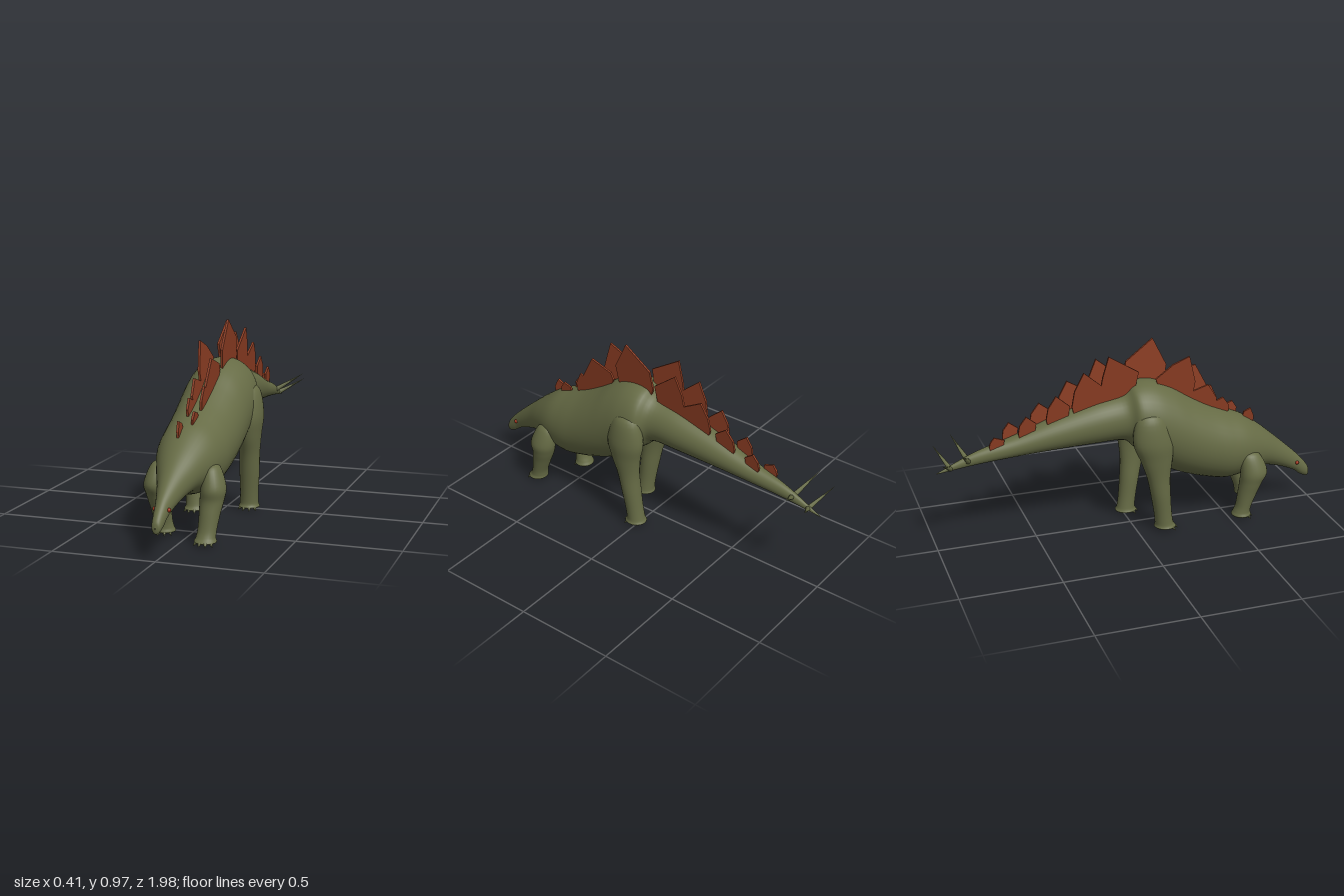
import * as THREE from 'three';

const mat = (name, color, side = THREE.FrontSide) => {
  const m = new THREE.MeshStandardMaterial({ color, side });
  m.name = name;
  return m;
};
const skin = mat('olive skin', 0x666b45);
const rust = mat('rust plate', 0x8a3c22);
const eyeRed = mat('red eye', 0xa03018);

// Smooth loft through elliptical sections [s, x, v, rx, rv], ordered by falling s.
// Lying lofts run along z (v = y); upright ones run along y (v = -z).
function loft(sections, upright, rings, sides = 28) {
  const centre = new THREE.CatmullRomCurve3(
    sections.map(([s, x, v]) => new THREE.Vector3(x, v, s)), false, 'catmullrom', 0.5);
  const radius = new THREE.CatmullRomCurve3(
    sections.map((q) => new THREE.Vector3(q[3], q[4], 0)), false, 'catmullrom', 0.5);
  const pos = [], idx = [];
  for (let i = 0; i <= rings; i++) {
    const c = centre.getPoint(i / rings), r = radius.getPoint(i / rings);
    for (let j = 0; j < sides; j++) {
      const a = (j / sides) * Math.PI * 2;
      const x = c.x + Math.max(r.x, 0.001) * Math.cos(a);
      const v = c.y + Math.max(r.y, 0.001) * Math.sin(a);
      if (upright) pos.push(x, c.z, -v);
      else pos.push(x, v, c.z);
      if (i < rings) {
        const p = i * sides + j, n = i * sides + ((j + 1) % sides);
        idx.push(p, p + sides, n, n, p + sides, n + sides);
      }
    }
  }
  const g = new THREE.BufferGeometry();
  g.setAttribute('position', new THREE.Float32BufferAttribute(pos, 3));
  g.setIndex(idx);
  g.computeVertexNormals();
  return g;
}

// Body outline: z, top, bottom, half width
const BODY = [
  [0.997, 0.153, 0.147, 0.002], [0.988, 0.183, 0.122, 0.02], [0.95, 0.23, 0.135, 0.029],
  [0.9, 0.28, 0.17, 0.037], [0.8, 0.37, 0.21, 0.068], [0.7, 0.455, 0.23, 0.11],
  [0.6, 0.525, 0.208, 0.148], [0.5, 0.567, 0.195, 0.167], [0.4, 0.612, 0.213, 0.173],
  [0.3, 0.67, 0.243, 0.177], [0.2, 0.735, 0.285, 0.179], [0.1, 0.772, 0.355, 0.178],
  [0.01, 0.768, 0.43, 0.163], [-0.05, 0.722, 0.475, 0.115], [-0.2, 0.69, 0.475, 0.101],
  [-0.4, 0.63, 0.468, 0.078], [-0.6, 0.56, 0.455, 0.05], [-0.8, 0.5, 0.437, 0.023],
  [-0.985, 0.417, 0.413, 0.002],
];

function backHeight(z) {
  const i = Math.max(1, BODY.findIndex((b) => b[0] <= z));
  const [a, b] = [BODY[i - 1], BODY[i]];
  return THREE.MathUtils.mapLinear(z, a[0], b[0], a[1], b[1]);
}

// Leg sections: y, x, z, rx, rz
const FORE = [
  [0.37, 0.125, 0.6, 0.003, 0.003], [0.345, 0.13, 0.605, 0.038, 0.05], [0.26, 0.141, 0.62, 0.058, 0.07],
  [0.2, 0.135, 0.62, 0.057, 0.059], [0.14, 0.13, 0.62, 0.05, 0.05], [0.07, 0.125, 0.62, 0.045, 0.041],
  [0.035, 0.122, 0.62, 0.047, 0.044], [0.014, 0.122, 0.623, 0.051, 0.048], [0.006, 0.122, 0.623, 0.003, 0.003],
];
const HIND = [
  [0.66, 0.12, 0.06, 0.003, 0.003], [0.62, 0.135, 0.06, 0.05, 0.07], [0.5, 0.14, 0.065, 0.066, 0.102],
  [0.4, 0.14, 0.07, 0.056, 0.083], [0.3, 0.135, 0.07, 0.05, 0.06], [0.2, 0.13, 0.07, 0.05, 0.051],
  [0.1, 0.125, 0.07, 0.046, 0.046], [0.035, 0.122, 0.07, 0.047, 0.047],
  [0.014, 0.122, 0.073, 0.051, 0.054], [0.006, 0.122, 0.073, 0.003, 0.003],
];

// Cone whose base sits at one point and whose tip reaches another
function spike(name, from, to, r) {
  const a = new THREE.Vector3(...from), d = new THREE.Vector3(...to).sub(a);
  const g = new THREE.ConeGeometry(r, d.length(), 8);
  g.translate(0, d.length() / 2, 0);
  const m = new THREE.Mesh(g, skin);
  m.name = name;
  m.quaternion.setFromUnitVectors(new THREE.Vector3(0, 1, 0), d.normalize());
  m.position.copy(a);
  return m;
}

// Leg whose lower part swings forwards or backwards, with toe claws
function leg(name, side, profile, swing, reach) {
  const g = new THREE.Group();
  g.name = name;
  const zAt = (y, z) => z + swing * Math.max(0, 1 - y / reach);
  const limb = new THREE.Mesh(
    loft(profile.map(([y, x, z, rx, rz]) => [y, side * x, -zAt(y, z), rx, rz]), true, 44, 24), skin);
  limb.name = name + 'Limb';
  g.add(limb);
  const [y, x, z, rx, rz] = profile[profile.length - 2];
  for (const a of [-0.9, -0.3, 0.3, 0.9]) {
    const px = side * x + Math.sin(a) * rx * 0.9, pz = zAt(y, z) + Math.cos(a) * rz * 0.9;
    g.add(spike('claw', [px, 0.015, pz], [px + Math.sin(a) * 0.015, 0.001, pz + Math.cos(a) * 0.018], 0.009));
  }
  return g;
}

// Back plates: front z, back z, peak z, peak y
const RIGHT_PLATES = [
  [0.66, 0.6, 0.64, 0.56], [0.52, 0.43, 0.485, 0.64], [0.45, 0.31, 0.4, 0.72],
  [0.33, 0.12, 0.295, 0.885], [0.03, -0.17, -0.125, 0.93], [-0.14, -0.31, -0.25, 0.86],
  [-0.32, -0.44, -0.39, 0.755], [-0.49, -0.58, -0.54, 0.665], [-0.65, -0.725, -0.7, 0.575],
];
const LEFT_PLATES = [
  [0.58, 0.51, 0.557, 0.593], [0.47, 0.36, 0.44, 0.69], [0.42, 0.22, 0.355, 0.81],
  [0.2, -0.03, 0.13, 0.97], [-0.04, -0.22, -0.165, 0.895], [-0.2, -0.37, -0.315, 0.8],
  [-0.4, -0.51, -0.46, 0.705], [-0.57, -0.65, -0.615, 0.625],
];

function plate(side, [front, back, peakZ, peakY]) {
  const yf = backHeight(front), yb = backHeight(back), w = front - back;
  const flat = peakZ === 0.295; // the broad plate with a squared top
  const s = new THREE.Shape([
    [front - 0.1 * w, yf - 0.035],
    [front, yf + (peakY - yf) * 0.4],
    [peakZ, peakY],
    flat ? [0.21, 0.85] : [back + 0.08 * w, yb + (peakY - yb) * 0.55],
    [back, yb + (peakY - yb) * 0.15],
    [back + 0.1 * w, yb - 0.035],
  ].map((p) => new THREE.Vector2(...p)));
  const g = new THREE.ExtrudeGeometry(s, { depth: 0.011, bevelEnabled: false });
  g.translate(0, 0, -0.0055).rotateY(-Math.PI / 2);
  // lean outwards with height
  const p = g.attributes.position;
  for (let i = 0; i < p.count; i++) p.setX(i, p.getX(i) + side * (0.022 + 0.056 * (p.getY(i) - 0.55)));
  g.computeVertexNormals();
  const m = new THREE.Mesh(g, rust);
  m.name = 'backPlate';
  return m;
}

export function createModel() {
  const model = new THREE.Group();
  model.name = 'platedDinosaur';

  const body = new THREE.Mesh(
    loft(BODY.map(([z, t, b, w]) => [z, 0, (t + b) / 2, w, (t - b) / 2]), false, 108, 36), skin);
  body.name = 'bodyHeadAndTail';
  model.add(body);

  model.add(
    leg('leftForeleg', 1, FORE, 0.065, 0.22),
    leg('rightForeleg', -1, FORE, -0.062, 0.25),
    leg('leftHindLeg', 1, HIND, -0.06, 0.45),
    leg('rightHindLeg', -1, HIND, 0.075, 0.55));

  RIGHT_PLATES.forEach((p) => model.add(plate(-1, p)));
  LEFT_PLATES.forEach((p) => model.add(plate(1, p)));

  for (const side of [-1, 1]) {
    // tail spikes
    model.add(
      spike('tailSpike', [0, 0.458, -0.825], [side * 0.153, 0.552, -0.883], 0.015),
      spike('tailSpike', [0, 0.432, -0.915], [side * 0.137, 0.51, -0.975], 0.013));
    // eyes
    const eye = new THREE.Mesh(new THREE.SphereGeometry(0.01, 14, 10), eyeRed);
    eye.name = 'eye';
    eye.position.set(side * 0.034, 0.217, 0.915);
    model.add(eye);
  }
  return model;
}
